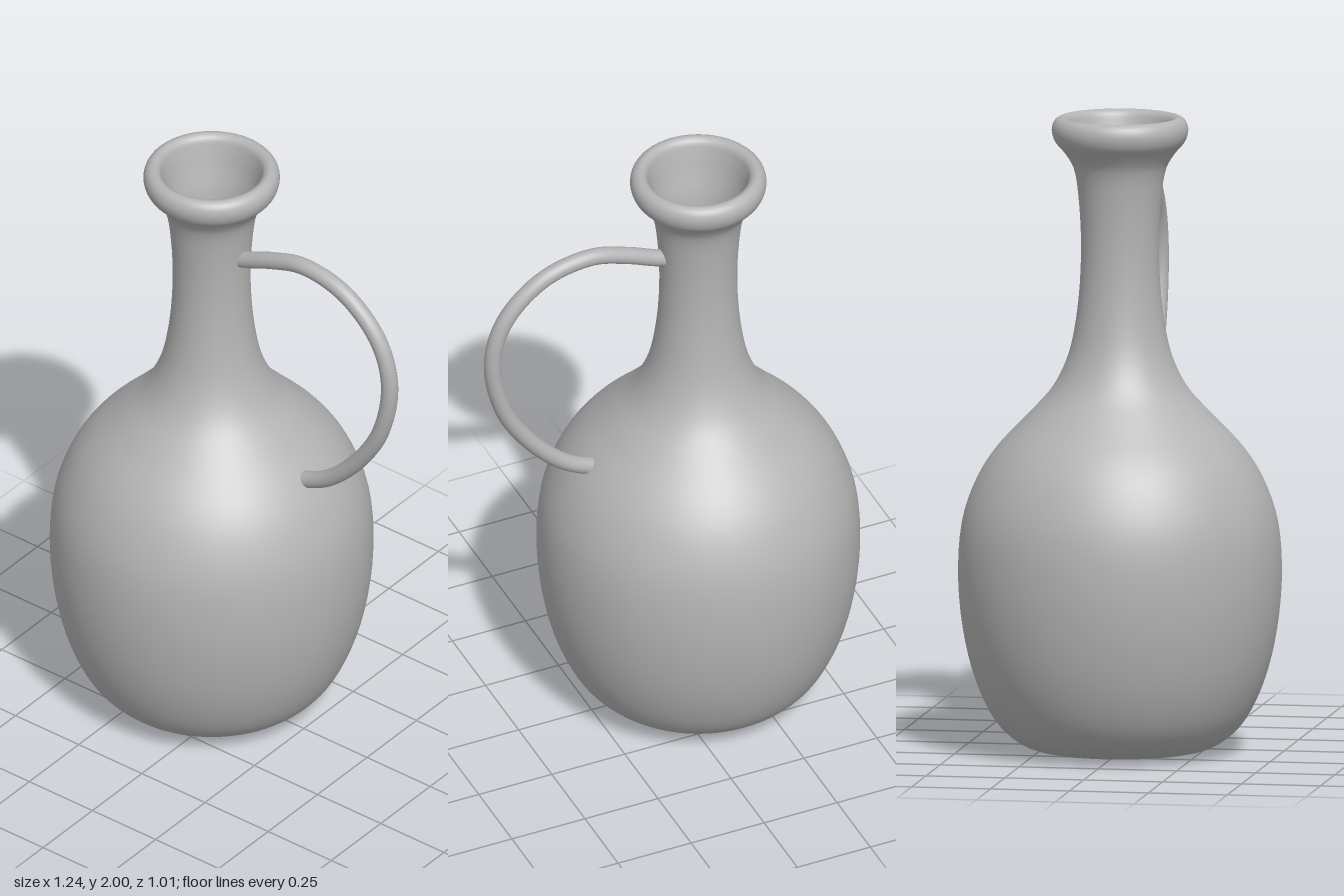
import * as THREE from 'three';

const AXIS_X = -0.115;

// Smooth curve through a few [x, y] points
const smooth = (pts) =>
  new THREE.CatmullRomCurve3(pts.map(([x, y]) => new THREE.Vector3(x, y, 0)), false, 'centripetal');

export function createModel() {
  const model = new THREE.Group();
  model.name = 'jug';
  const clay = new THREE.MeshStandardMaterial({ color: 0xb4b4b4 });
  clay.name = 'grey clay';

  // Vessel: outer wall from the foot up, over the rolled lip, and down the inside
  const profile = smooth([
    [0, 0], [0.1, 0.001], [0.2, 0.005], [0.3, 0.025], [0.38, 0.09], [0.44, 0.2],
    [0.485, 0.36], [0.505, 0.56], [0.49, 0.74], [0.44, 0.875], [0.38, 0.965],
    [0.29, 1.06], [0.21, 1.15], [0.162, 1.25], [0.135, 1.38], [0.122, 1.55],
    [0.127, 1.72], [0.145, 1.84], [0.175, 1.89], [0.204, 1.925], [0.213, 1.96],
    [0.204, 1.988], [0.183, 2.0], [0.164, 1.99], [0.153, 1.96], [0.138, 1.9],
    [0.112, 1.8], [0.1, 1.6], [0.11, 1.4], [0.135, 1.25], [0.18, 1.15],
    [0.35, 0.96], [0.46, 0.74], [0.477, 0.56], [0.41, 0.2], [0.28, 0.06], [0.15, 0.035], [0, 0.03],
  ]).getPoints(150).map((p) => new THREE.Vector2(Math.max(p.x, 0), Math.max(p.y, 0)));
  const vessel = new THREE.Mesh(new THREE.LatheGeometry(profile, 96), clay);
  vessel.name = 'vessel';
  vessel.position.x = AXIS_X;
  model.add(vessel);

  // Handle: a round loop from the neck to the shoulder
  const loop = smooth([
    [-0.005, 1.695], [0.04, 1.71], [0.125, 1.745], [0.25, 1.778], [0.41, 1.745], [0.54, 1.63],
    [0.589, 1.48], [0.555, 1.28], [0.46, 1.12], [0.35, 1.01], [0.27, 0.967], [0.235, 0.957],
  ]);
  const handle = new THREE.Mesh(new THREE.TubeGeometry(loop, 100, 0.027, 20), clay);
  handle.name = 'handle';
  model.add(handle);

  return model;
}
